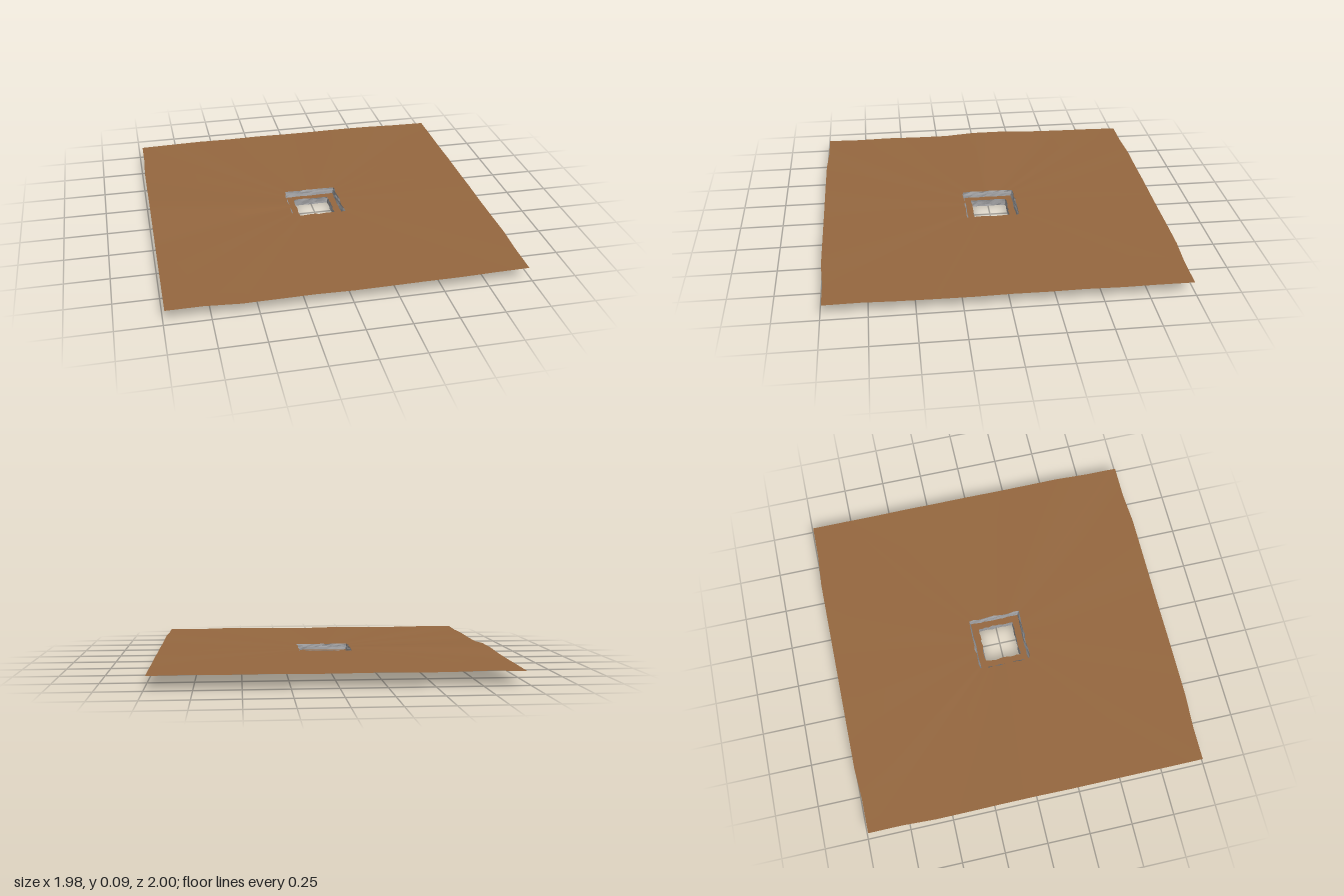
import * as THREE from 'three';

const PER_SIDE = 10;
const COUNT = PER_SIDE * 4;

// Small seeded noise source in the range -1..1
function makeNoise(seed) {
  let s = seed;
  return () => {
    s = (s * 16807) % 2147483647;
    return (s / 2147483647) * 2 - 1;
  };
}

// Square loop of points at one height, roughened sideways by the given amount
function squareRing(half, y, rough, seed, centre = -0.003) {
  const noise = makeNoise(seed);
  const corners = [[-1, -1], [1, -1], [1, 1], [-1, 1]];
  return Array.from({ length: COUNT }, (_, k) => {
    const side = Math.floor(k / PER_SIDE);
    const t = (k % PER_SIDE) / PER_SIDE;
    const a = corners[side], b = corners[(side + 1) % 4];
    const r = half + noise() * rough;
    return new THREE.Vector3(
      (a[0] + (b[0] - a[0]) * t) * r + centre, y,
      (a[1] + (b[1] - a[1]) * t) * r + centre);
  });
}

// Surface joining closed rings, ordered from outer/top to inner/bottom
function skin(rings, faceted) {
  const positions = [], index = [];
  rings.forEach(ring => ring.forEach(p => positions.push(p.x, p.y, p.z)));
  for (let r = 0; r < rings.length - 1; r++) {
    for (let k = 0; k < COUNT; k++) {
      const n = (k + 1) % COUNT;
      const a0 = r * COUNT + k, a1 = r * COUNT + n;
      const b0 = a0 + COUNT, b1 = a1 + COUNT;
      index.push(a0, b0, a1, a1, b0, b1);
    }
  }
  let geometry = new THREE.BufferGeometry();
  geometry.setAttribute('position', new THREE.Float32BufferAttribute(positions, 3));
  geometry.setIndex(index);
  if (faceted) geometry = geometry.toNonIndexed();
  geometry.computeVertexNormals();
  return geometry;
}

// Outer border of the ground, gently uneven in outline and height
function borderRing() {
  const noise = makeNoise(4217);
  const ring = squareRing(1, 0.078, 0, 1, 0);
  ring.forEach(p => {
    const onSide = Math.abs(p.x) > 0.99;
    const x = p.x, z = p.z;
    p.x = x * (x * z > 0.61 ? 0.98 : 0.988);
    p.z = z * (Math.abs(x) > 0.61 ? 0.988 : 1);
    p.y += noise() * 0.003;
    // raised spot on the right-hand border
    if (onSide && x < 0 && Math.abs(z + 0.1) < 0.12) p.y = 0.089;
  });
  return ring;
}

export function createModel() {
  const model = new THREE.Group();
  model.name = 'groundWithPit';
  const earth = new THREE.MeshStandardMaterial({ color: 0x966840, side: THREE.DoubleSide });
  earth.name = 'earth brown';
  const stone = new THREE.MeshStandardMaterial({ color: 0x9a9a9c, side: THREE.DoubleSide });
  stone.name = 'stone grey';

  const add = (name, rings, material, faceted) => {
    const mesh = new THREE.Mesh(skin(rings, faceted), material);
    mesh.name = name;
    model.add(mesh);
  };

  // Rings shared between neighbouring parts
  const rim = squareRing(0.157, 0.075, 0.005, 11);
  const ledgeOuter = squareRing(0.146, 0.04, 0.003, 23);
  const ledgeInner = squareRing(0.107, 0.04, 0.004, 37);

  // Ground sheet running from the border to the rim of the pit
  add('groundSheet', [borderRing(), rim], earth, false);

  // Upper stone wall, stepping inwards in layers
  add('upperWall', [
    rim,
    squareRing(0.154, 0.065, 0.004, 51),
    squareRing(0.15, 0.056, 0.004, 67),
    ledgeOuter,
  ], stone, true);

  // Earth ledge halfway down
  add('ledge', [ledgeOuter, ledgeInner], earth, false);

  // Lower stone wall, open at the bottom
  add('lowerWall', [
    ledgeInner,
    squareRing(0.108, 0.03, 0.003, 83),
    squareRing(0.106, 0.01, 0.003, 97),
    squareRing(0.104, 0, 0.003, 113),
  ], stone, true);

  return model;
}
